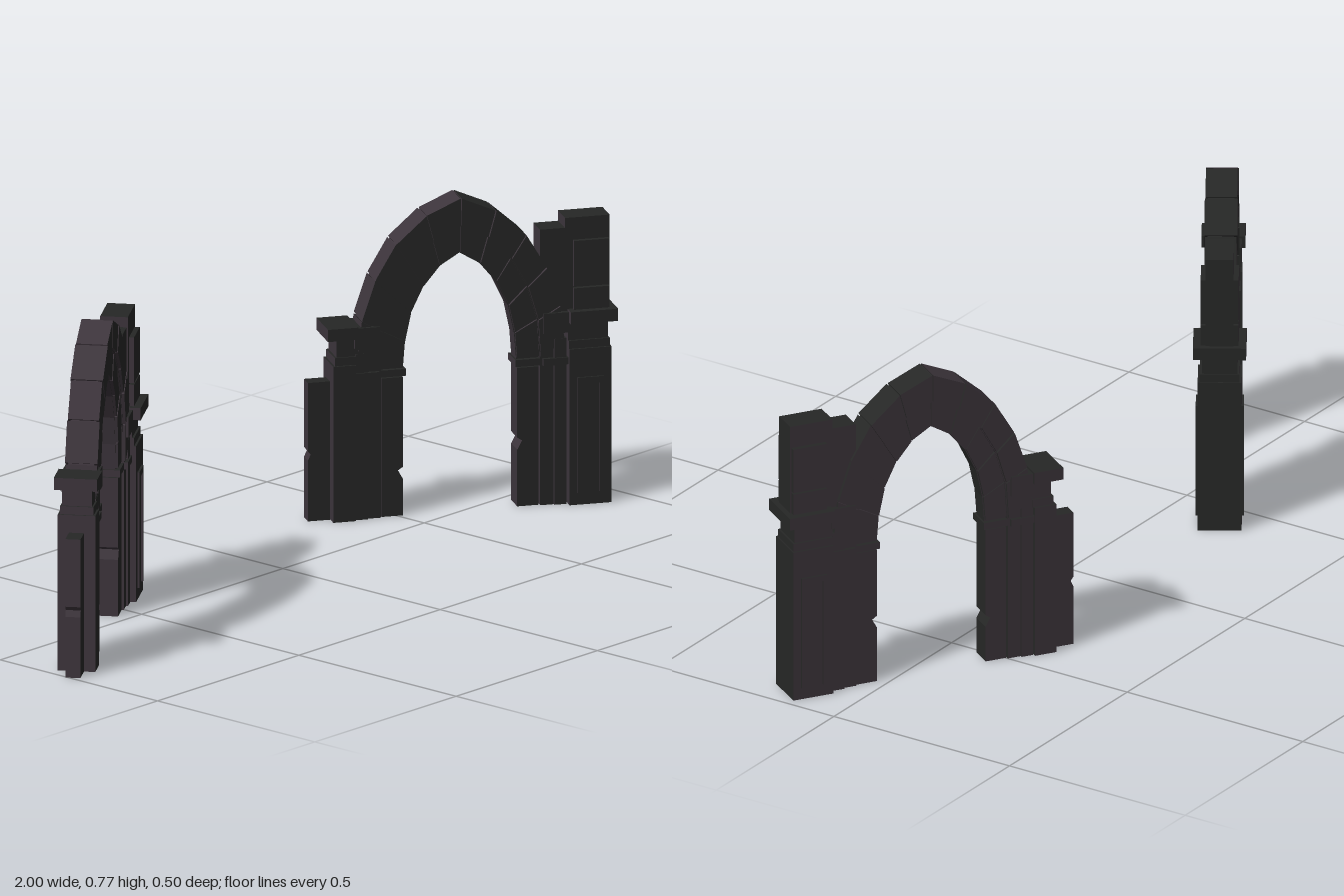
import * as THREE from 'three';

const darkStone = new THREE.MeshStandardMaterial({ color: 0x262726 });
darkStone.name = 'dark stone';
const plumStone = new THREE.MeshStandardMaterial({ color: 0x3d353c });
plumStone.name = 'plum stone';

// Flat-faced mesh: faces turned to the weathered side use plum stone, the rest dark stone
function stone(name, source) {
  const g = source.index ? source.toNonIndexed() : source;
  g.computeVertexNormals();
  const p = g.attributes.position, n = g.attributes.normal;
  const sides = [[], []];
  for (let i = 0; i < p.count; i += 3) {
    const weathered = -0.5 * n.getX(i) - 0.85 * n.getZ(i) > 0.15;
    for (let k = i; k < i + 3; k++) sides[weathered ? 1 : 0].push(p.getX(k), p.getY(k), p.getZ(k));
  }
  const out = new THREE.BufferGeometry();
  out.setAttribute('position', new THREE.Float32BufferAttribute(sides.flat(), 3));
  out.computeVertexNormals();
  out.addGroup(0, sides[0].length / 3, 0);
  out.addGroup(sides[0].length / 3, sides[1].length / 3, 1);
  const m = new THREE.Mesh(out, [darkStone, plumStone]);
  m.name = name;
  return m;
}

// Block given by its x range, y range and depth
function block(name, x0, x1, y0, y1, depth, z = 0) {
  const g = new THREE.BoxGeometry(x1 - x0, y1 - y0, depth);
  g.translate((x0 + x1) / 2, (y0 + y1) / 2, z);
  return stone(name, g);
}

// Outline in x and y, extruded evenly about z = 0
function slab(name, points, depth) {
  const shape = new THREE.Shape(points.map(([x, y]) => new THREE.Vector2(x, y)));
  const g = new THREE.ExtrudeGeometry(shape, { depth, bevelEnabled: false });
  g.translate(0, 0, -depth / 2);
  return stone(name, g);
}

// Half curves of the pointed arch, from springing to apex
const intrados = [[0.14, 0.366], [0.135, 0.43], [0.12, 0.50], [0.09, 0.562], [0.05, 0.61], [0, 0.64]];
const middle = [[0.196, 0.366], [0.19, 0.46], [0.165, 0.545], [0.125, 0.617], [0.068, 0.675], [0, 0.707]];
const extrados = [[0.254, 0.40], [0.243, 0.49], [0.21, 0.588], [0.16, 0.672], [0.085, 0.738], [0, 0.775]];

// One order of the arch: separate stones over a slightly thinner core
function archRing(name, inner, outer, depth) {
  const ring = new THREE.Group();
  ring.name = name;
  const mix = (a, b, t) => [a[0] + (b[0] - a[0]) * t, a[1] + (b[1] - a[1]) * t];
  for (const side of [-1, 1]) {
    for (let i = 0; i < inner.length - 1; i++) {
      const quad = (gap) => [
        mix(inner[i], inner[i + 1], gap), mix(outer[i], outer[i + 1], gap),
        mix(outer[i + 1], outer[i], gap), mix(inner[i + 1], inner[i], gap),
      ].map(([x, y]) => [x * side, y]);
      ring.add(slab('archStone', quad(0.02), depth + (i % 2 ? 0.003 : 0)));
      ring.add(slab('archCore', quad(0).map(([x, y]) => [x * 0.99, y - 0.003]), depth - 0.012));
    }
  }
  return ring;
}

function createArch(name) {
  const arch = new THREE.Group();
  arch.name = name;
  arch.add(archRing('innerArchRing', intrados, middle, 0.056));
  arch.add(archRing('outerArchRing', middle, extrados, 0.075));

  for (const s of [-1, 1]) {
    // Door jamb with a chipped inner edge, and its capital
    const nick = s < 0 ? 0.09 : 0.14;
    const jamb = [[0.14, 0], [0.192, 0], [0.192, 0.342], [0.14, 0.342],
      [0.14, nick + 0.03], [0.152, nick + 0.022], [0.14, nick]];
    arch.add(slab('jamb', jamb.map(([x, y]) => [x * s, y]), 0.056));
    const span = (a, b) => (s < 0 ? [-b, -a] : [a, b]);
    arch.add(block('jambCapital', ...span(0.134, 0.2), 0.346, 0.363, 0.066));

    // Stepped shafts between jamb and buttress
    arch.add(block('innerShaft', ...span(0.195, 0.228), 0, 0.425, 0.066));
    arch.add(block('outerShaft', ...span(0.228, 0.258), 0, 0.41, 0.076));
    arch.add(block('shaftCapital', ...span(0.2, 0.262), 0.346, 0.363, 0.084));
    arch.add(block('shaftCornice', ...span(0.2, 0.262), 0.425, 0.475, 0.088));
  }

  // Small buttress on the right, with the broken wall stub beyond it
  arch.add(block('smallButtress', -0.315, -0.26, 0, 0.385, 0.09));
  arch.add(block('smallButtressNeck', -0.31, -0.255, 0.385, 0.405, 0.08));
  arch.add(block('smallButtressFrieze', -0.305, -0.25, 0.405, 0.45, 0.072));
  arch.add(block('smallButtressCornice', -0.33, -0.255, 0.45, 0.48, 0.104));
  arch.add(slab('wallStub', [[-0.37, 0], [-0.316, 0], [-0.316, 0.342], [-0.37, 0.342],
    [-0.37, 0.175], [-0.363, 0.165], [-0.37, 0.15]], 0.036));

  // Tall buttress on the left, with moulded cornice
  arch.add(block('buttress', 0.262, 0.365, 0, 0.385, 0.104));
  arch.add(block('buttressNeck', 0.262, 0.362, 0.385, 0.405, 0.094));
  arch.add(block('buttressFrieze', 0.26, 0.358, 0.405, 0.45, 0.084));
  arch.add(block('buttressCornice', 0.262, 0.378, 0.45, 0.48, 0.126));

  // Upper wall above the cornice, in courses
  arch.add(block('upperWall', 0.195, 0.256, 0.44, 0.68, 0.06));
  arch.add(block('upperPier', 0.256, 0.365, 0.475, 0.705, 0.066));
  arch.add(block('upperCourse', 0.275, 0.362, 0.48, 0.533, 0.09));
  arch.add(block('upperCourse', 0.275, 0.362, 0.537, 0.65, 0.09));

  // Narrow raised panels on both faces of the tall buttress
  for (const z of [-0.053, 0.053]) {
    for (const x of [0.28, 0.335]) arch.add(block('panelRib', x, x + 0.01, 0.03, 0.3, 0.008, z));
    arch.add(block('panelHead', 0.28, 0.345, 0.3, 0.315, 0.008, z));
  }
  return arch;
}

export function createModel() {
  const model = new THREE.Group();
  model.name = 'archPair';
  const angle = THREE.MathUtils.degToRad(33);
  const rightArch = createArch('rightArch');
  rightArch.position.set(-0.684, 0, 0.024);
  rightArch.rotation.y = angle;
  const leftArch = createArch('leftArch');
  leftArch.position.set(0.645, 0, -0.026);
  leftArch.rotation.y = -angle;
  model.add(rightArch, leftArch);
  return model;
}
